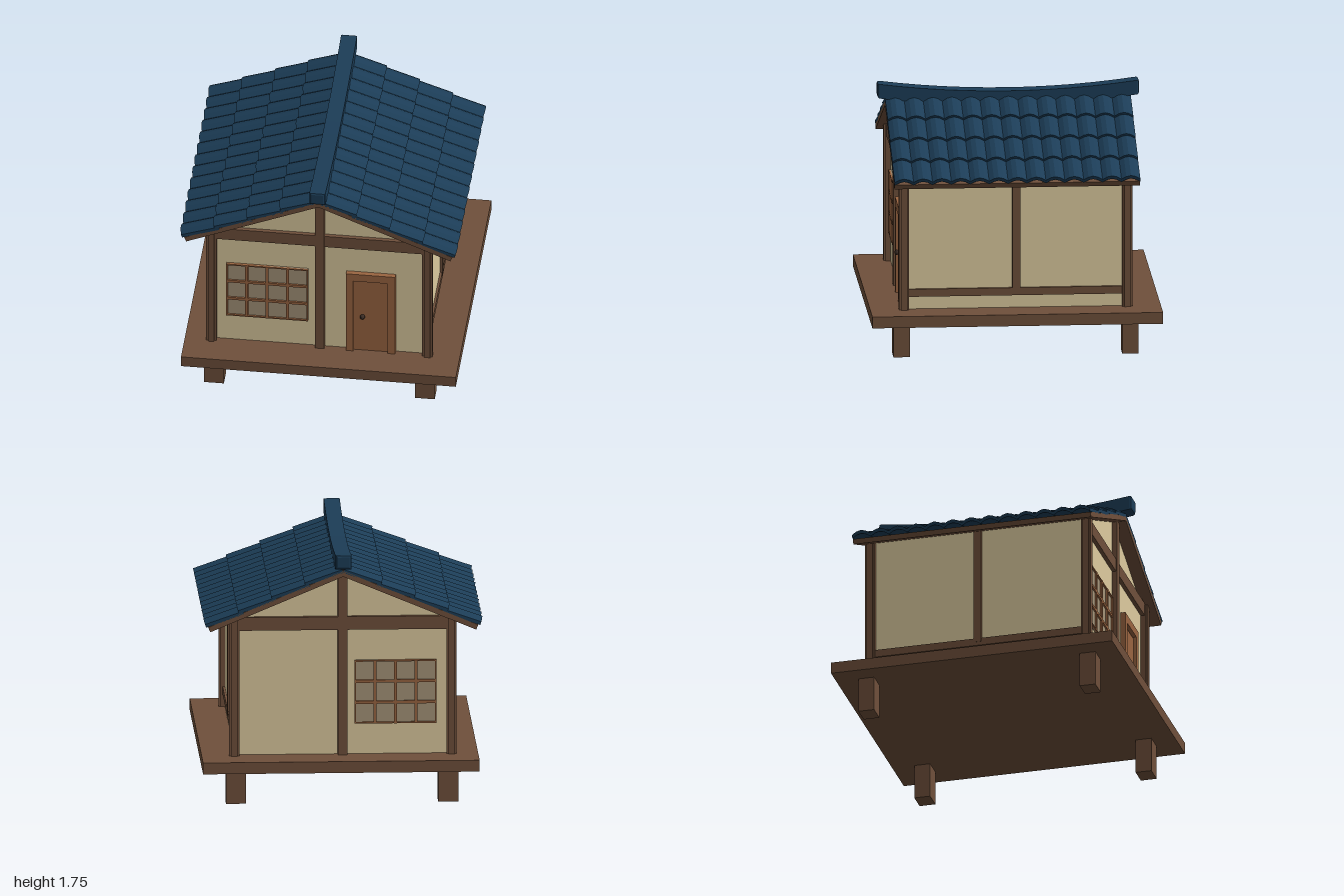
import * as THREE from 'three';

const mat = (color, extra = {}) =>
  new THREE.MeshStandardMaterial({ color, flatShading: true, ...extra });
const wood = mat(0x6f503b), plaster = mat(0xddcb9f), tileBlue = mat(0x1c3d57);
const joinery = mat(0x9a6541), pane = mat(0xa6957a), iron = mat(0x3a2c24);

const CX = -0.015;                       // centre line of the house
const SLOPE = Math.atan(0.418);          // roof pitch
const HALF_ROOF = 0.845;                 // half length of the roof along z

// Box given by its min and max corners
function box(parent, name, material, [x0, x1], [y0, y1], [z0, z1]) {
  const m = new THREE.Mesh(new THREE.BoxGeometry(x1 - x0, y1 - y0, z1 - z0), material);
  m.position.set((x0 + x1) / 2, (y0 + y1) / 2, (z0 + z1) / 2);
  m.name = name;
  parent.add(m);
  return m;
}

function createBase() {
  const g = new THREE.Group();
  g.name = 'base';
  box(g, 'deck', wood, [-0.945, 0.955], [0.245, 0.325], [-1, 1]);
  for (const x of [-0.737, 0.721])
    for (const z of [-0.787, 0.787])
      box(g, 'leg', wood, [x - 0.069, x + 0.069], [0, 0.25], [z - 0.056, z + 0.056]);
  return g;
}

// Solid gabled body
function createWalls() {
  const s = new THREE.Shape([
    [-0.74, 0.32], [0.74, 0.32], [0.74, 1.285], [0, 1.597], [-0.74, 1.285],
  ].map(([x, y]) => new THREE.Vector2(x + CX, y)));
  const geo = new THREE.ExtrudeGeometry(s, { depth: 1.51, bevelEnabled: false });
  geo.translate(0, 0, -0.755);
  const m = new THREE.Mesh(geo, plaster);
  m.name = 'walls';
  return m;
}

function createTimberFrame() {
  const g = new THREE.Group();
  g.name = 'timberFrame';
  for (const sx of [-1, 1]) {
    // Corner posts with a cross-shaped section
    for (const sz of [-1, 1]) {
      const x = CX + sx * 0.747, z = sz * 0.768;
      for (const [hx, hz] of [[0.035, 0.022], [0.022, 0.035]])
        box(g, 'cornerPost', wood, [x - hx, x + hx], [0.32, 1.285], [z - hz, z + hz]);
    }
    // Side wall timbers
    const x = CX + sx * 0.74;
    box(g, 'sidePost', wood, [x - 0.018, x + 0.018], [0.44, 1.28], [-0.032, 0.022]);
    box(g, 'sideRail', wood, [x - 0.016, x + 0.016], [0.413, 0.466], [-0.74, 0.74]);
  }
  // Gable timbers
  for (const z of [-0.755, 0.755]) {
    box(g, 'gablePost', wood, [CX - 0.031, CX + 0.034], [0.32, 1.61], [z - 0.035, z + 0.035]);
    box(g, 'gableBeam', wood, [CX - 0.73, CX + 0.73], [1.203, 1.295], [z - 0.028, z + 0.028]);
  }
  return g;
}

// Lattice window, built around z = 0 with its face to +z
function createWindow() {
  const g = new THREE.Group();
  g.name = 'window';
  const [x0, x1, y0, y1] = [-0.66, -0.095, 0.54, 0.985];
  box(g, 'pane', pane, [x0, x1], [y0, y1], [-0.01, 0.006]);
  const vBar = (x, w) => box(g, 'windowBar', joinery, [x - w, x + w], [y0, y1], [-0.01, 0.02]);
  const hBar = (y, w) => box(g, 'windowBar', joinery, [x0, x1], [y - w, y + w], [-0.01, 0.018]);
  for (let i = 1; i < 4; i++) vBar(x0 + (x1 - x0) * i / 4, 0.01);
  for (let i = 1; i < 3; i++) hBar(y0 + (y1 - y0) * i / 3, 0.01);
  for (const x of [x0 + 0.005, x1 - 0.005]) vBar(x, 0.005);
  for (const y of [y0 + 0.005, y1 - 0.005]) hBar(y, 0.005);
  return g;
}

function createDoor() {
  const g = new THREE.Group();
  g.name = 'door';
  const z = [0.75, 0.79];
  box(g, 'doorJamb', joinery, [0.17, 0.22], [0.32, 0.99], z);
  box(g, 'doorJamb', joinery, [0.457, 0.51], [0.32, 0.99], z);
  box(g, 'doorLintel', joinery, [0.22, 0.457], [0.93, 0.99], z);
  box(g, 'doorLeaf', joinery, [0.22, 0.457], [0.32, 0.918], [0.75, 0.77]);
  const knob = new THREE.Mesh(new THREE.SphereGeometry(0.018, 12, 8), iron);
  knob.name = 'doorKnob';
  knob.position.set(0.283, 0.622, 0.784);
  g.add(knob);
  return g;
}

// One row of 13 arched tiles, running down the slope along +x
function createTileRowGeometry(length) {
  const columns = 13, seg = 4, n = columns * seg;
  const top = [], bottom = [];
  for (let i = 0; i <= n; i++) {
    const z = -HALF_ROOF + 2 * HALF_ROOF * i / n;
    const rise = 0.028 * Math.sin(Math.PI * (i % seg) / seg);
    bottom.push(new THREE.Vector2(z, rise - 0.012));
    top.push(new THREE.Vector2(z, rise + 0.012));
  }
  const geo = new THREE.ExtrudeGeometry(new THREE.Shape([...bottom, ...top.reverse()]),
    { depth: length, bevelEnabled: false });
  return geo.rotateY(Math.PI / 2);
}

// One roof slope, local x running down from the ridge
function createRoofSlope(name) {
  const g = new THREE.Group();
  g.name = name;
  box(g, 'roofBoard', wood, [-0.008, 1.005], [-0.036, 0], [-HALF_ROOF, HALF_ROOF]);
  const geo = createTileRowGeometry(0.275);
  [0.277, 0.525, 0.773, 1.018].forEach((end) => {
    const row = new THREE.Mesh(geo, tileBlue);
    row.name = 'tileRow';
    // Lower end lifted so each row overlaps the next
    row.rotation.z = 0.06;
    row.position.set(end - 0.275, 0.0, 0);
    g.add(row);
  });
  g.rotation.z = -SLOPE;
  const pivot = new THREE.Group();
  pivot.add(g);
  pivot.position.set(CX, 1.63, 0);
  return pivot;
}

// Ridge cap, bevelled and sagging towards the middle
function createRidge() {
  const w = 0.04, h = 0.035, b = 0.015;
  const s = new THREE.Shape([[-w, -h], [w, -h], [w, h], [-w, h]]
    .map(([x, y]) => new THREE.Vector2(x, y)));
  const depth = 1.77;
  const geo = new THREE.ExtrudeGeometry(s, {
    depth, steps: 12, bevelThickness: b, bevelSize: b, bevelSegments: 2,
  });
  geo.translate(0, 0, -depth / 2);
  const p = geo.attributes.position;
  for (let i = 0; i < p.count; i++)
    p.setY(i, p.getY(i) + 0.062 * (p.getZ(i) / 0.9) ** 2);
  geo.computeVertexNormals();
  const m = new THREE.Mesh(geo, tileBlue);
  m.name = 'ridgeCap';
  m.position.set(CX, 1.64, 0);
  return m;
}

export function createModel() {
  const model = new THREE.Group();
  model.name = 'house';
  const frontWindow = createWindow(), backWindow = createWindow();
  frontWindow.position.z = 0.757;
  // Same span in x on the back wall
  backWindow.rotation.y = Math.PI;
  backWindow.position.set(-0.755, 0, -0.757);
  const rightSlope = createRoofSlope('roofSlopeRight');
  rightSlope.rotation.y = Math.PI;
  model.add(createBase(), createWalls(), createTimberFrame(), frontWindow, backWindow,
    createDoor(), createRoofSlope('roofSlopeLeft'), rightSlope, createRidge());
  return model;
}
